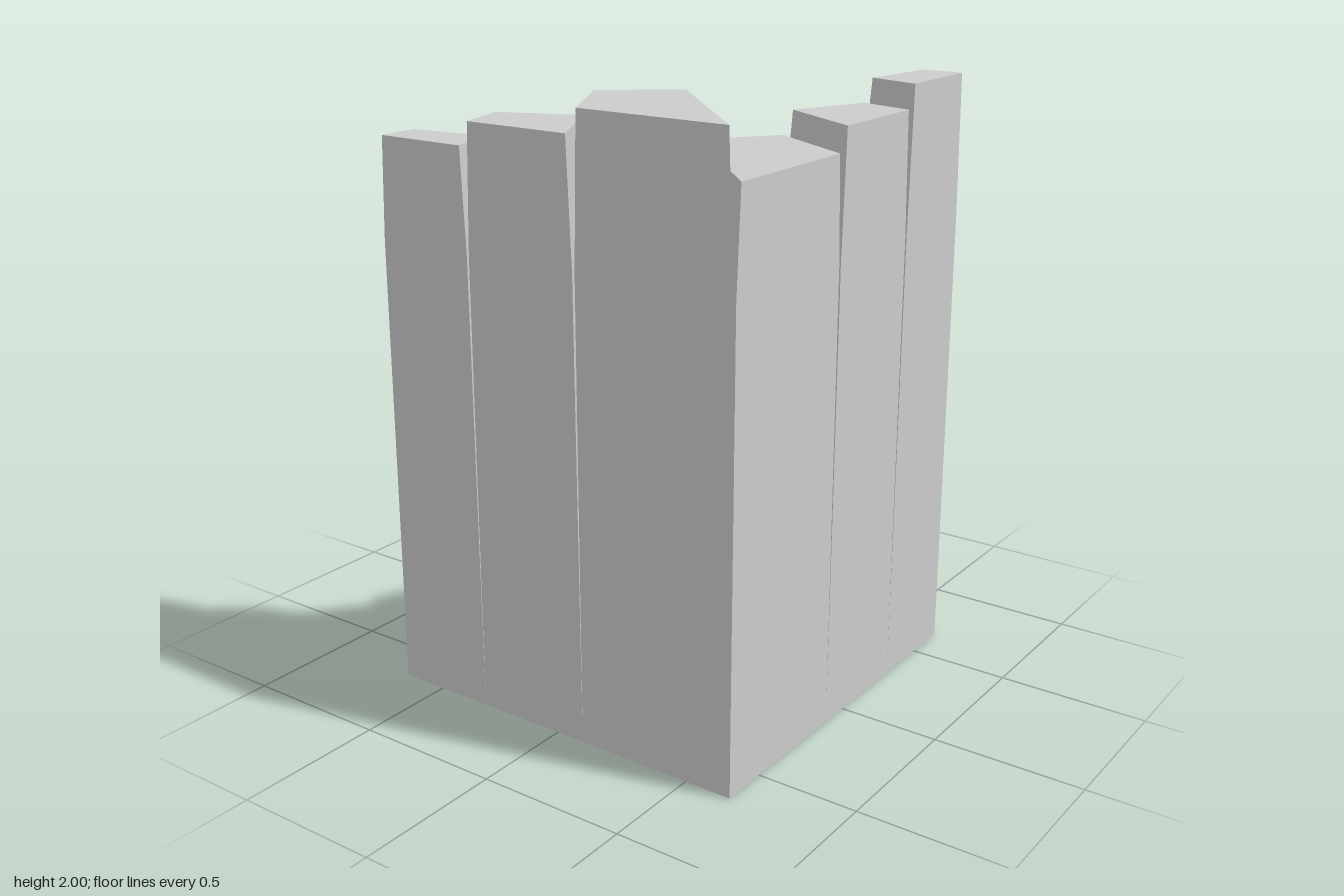
import * as THREE from 'three';

const HALF = 0.66;      // half the width of the square footprint
const RADIUS = 1.123;   // radius of the hollow, centred on the back left corner
const STEP = Math.PI / 12;
const BEND = 1.52;      // height where the rock starts to lean back

// A line is { n: [x, z], c }, holding the points with n . p = c
function meet(a, b) {
  const det = a.n[0] * b.n[1] - a.n[1] * b.n[0];
  return [(a.c * b.n[1] - b.c * a.n[1]) / det, (a.n[0] * b.c - b.n[0] * a.c) / det];
}

// Wedge cross-section, with its sides and inner face pulled in
function section(k, side, inner) {
  const line = (nx, nz, offset) => ({ n: [nx, nz], c: nx * HALF - nz * HALF + offset });
  const a0 = k * STEP, a1 = a0 + STEP, mid = a0 + STEP / 2;
  const start = line(Math.sin(a0), Math.cos(a0), side);
  const end = line(Math.sin(a1), Math.cos(a1), -side);
  const face = line(-Math.cos(mid), Math.sin(mid), RADIUS * Math.cos(STEP / 2) + inner);
  const wall = k < 3 ? { n: [1, 0], c: -HALF } : { n: [0, 1], c: HALF };
  return [meet(face, start), meet(face, end), meet(wall, end), meet(wall, start)];
}

// Joins stacked four-cornered sections into a closed, flat-faced block
function loft(levels) {
  const pos = [];
  const quad = (a, b, c, d) => [a, b, c, a, c, d].forEach((p) => pos.push(...p));
  const rings = levels.map(({ y, points }) => points.map(([x, z]) => [x, y, z]));
  for (let r = 0; r < rings.length - 1; r++) {
    const low = rings[r], high = rings[r + 1];
    for (let i = 0; i < 4; i++) {
      const j = (i + 1) % 4;
      quad(low[j], low[i], high[i], high[j]);
    }
  }
  quad(...rings[0]);
  quad(...[...rings[rings.length - 1]].reverse());
  const geometry = new THREE.BufferGeometry();
  geometry.setAttribute('position', new THREE.Float32BufferAttribute(pos, 3));
  geometry.computeVertexNormals();
  return geometry;
}

export function createModel() {
  const group = new THREE.Group();
  group.name = 'cliffCorner';
  const rock = new THREE.MeshStandardMaterial({ color: 0xcccccc, flatShading: true });
  rock.name = 'pale grey rock';

  // Six rock columns around the hollow, in three repeating heights
  const heights = [1.85, 1.925, 2];
  for (let k = 0; k < 6; k++) {
    const column = new THREE.Mesh(loft([
      { y: 0, points: section(k, 0, 0) },
      { y: BEND, points: section(k, 0.004, 0.018) },
      { y: heights[k % 3], points: section(k, 0.017, 0.06) },
    ]), rock);
    column.name = `rockColumn${k + 1}`;
    group.add(column);
  }
  return group;
}
